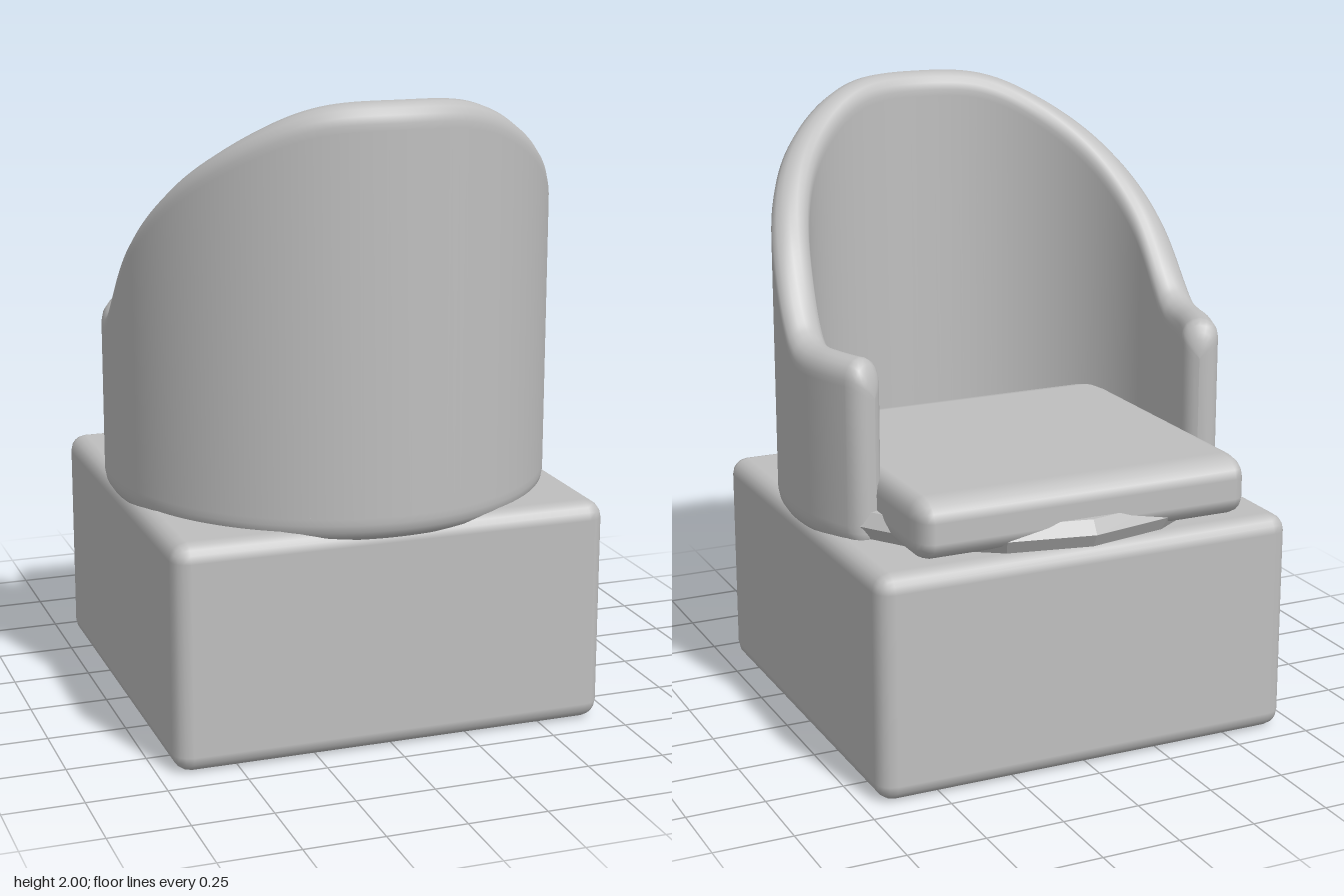
import * as THREE from 'three';
import { RoundedBoxGeometry } from 'three/addons/geometries/RoundedBoxGeometry.js';

const RADIUS = 0.655, HALF = 0.06, BOTTOM = 0.68;

// Curved wall: a rounded upright cross-section swept around the seat
function shellGeometry() {
  // Rim height against angle (degrees) from the tall middle to one arm end
  const rim = new THREE.SplineCurve([
    [-20, 1.985], [0, 2.0], [20, 1.985], [37.4, 1.905], [57.7, 1.756], [75.4, 1.565],
    [87.4, 1.37], [92.6, 1.305], [97.9, 1.284], [107, 1.282], [115.8, 1.282],
  ].map(([a, y]) => new THREE.Vector2(a, y)));
  const half = rim.getPoints(100).filter((p) => p.x > 0.01)
    .map((p) => ({ a: p.x, top: p.y, w: HALF, low: BOTTOM }));
  // Rounded arm ends
  for (let k = 1; k <= 6; k++) {
    const t = (k / 6) * Math.PI / 2, drop = HALF * (1 - Math.cos(t));
    half.push({ a: 115.8 + 5.2 * Math.sin(t), top: 1.282 - drop, w: HALF * Math.cos(t), low: BOTTOM + drop });
  }
  const stations = [
    ...half.map((s) => ({ ...s, a: -s.a })).reverse(),
    { a: 0, top: 2.0, w: HALF, low: BOTTOM },
    ...half,
  ];

  const positions = [], index = [], N = 8;
  let count = 0;
  for (const s of stations) {
    const section = [];
    for (let k = 0; k <= N; k++) {
      const t = (k / N) * Math.PI;
      section.push([s.w * Math.cos(t), s.top - HALF + s.w * Math.sin(t)]);
    }
    section.push([-s.w, s.top - HALF - 0.02], [-s.w, s.low + HALF + 0.02]);
    for (let k = 0; k <= N; k++) {
      const t = Math.PI + (k / N) * Math.PI;
      section.push([s.w * Math.cos(t), BOTTOM + HALF + s.w * Math.sin(t)]);
    }
    section.push([s.w, s.low + HALF + 0.02], [s.w, s.top - HALF - 0.02]);
    const a = THREE.MathUtils.degToRad(s.a);
    for (const [dr, y] of section) {
      positions.push((RADIUS + dr) * Math.sin(a), y, (RADIUS + dr) * Math.cos(a));
    }
    count = section.length;
  }
  for (let i = 0; i < stations.length - 1; i++) {
    for (let j = 0; j < count; j++) {
      const p = i * count + j, q = i * count + (j + 1) % count;
      index.push(p, p + count, q, q, p + count, q + count);
    }
  }
  const geometry = new THREE.BufferGeometry();
  geometry.setAttribute('position', new THREE.Float32BufferAttribute(positions, 3));
  geometry.setIndex(index);
  geometry.computeVertexNormals();
  return geometry;
}

export function createModel() {
  const model = new THREE.Group();
  model.name = 'tubChair';
  const grey = new THREE.MeshStandardMaterial({ color: 0xbfbfbf });
  grey.name = 'light grey';

  const add = (name, geometry, x, y, z) => {
    const mesh = new THREE.Mesh(geometry, grey);
    mesh.name = name;
    mesh.position.set(x, y, z);
    model.add(mesh);
  };

  // Block base
  add('base', new RoundedBoxGeometry(1.4, 0.72, 1.36, 2, 0.055), 0, 0.36, -0.008);

  // Seat cushion, with its rounding stretched towards the open side
  const cushion = new RoundedBoxGeometry(1.12, 0.15, 0.6, 2, 0.05);
  cushion.scale(1, 1.28, 1.8);
  add('seat', cushion, 0, 0.826, -0.13);

  // Faceted ring between base and seat
  const ring = new THREE.TorusGeometry(0.665, 0.05, 6, 16).rotateX(Math.PI / 2).toNonIndexed();
  ring.computeVertexNormals();
  add('baseRing', ring, 0, 0.765, 0);

  // Wrap-around back and arms
  add('backShell', shellGeometry(), 0, 0, 0);
  return model;
}
